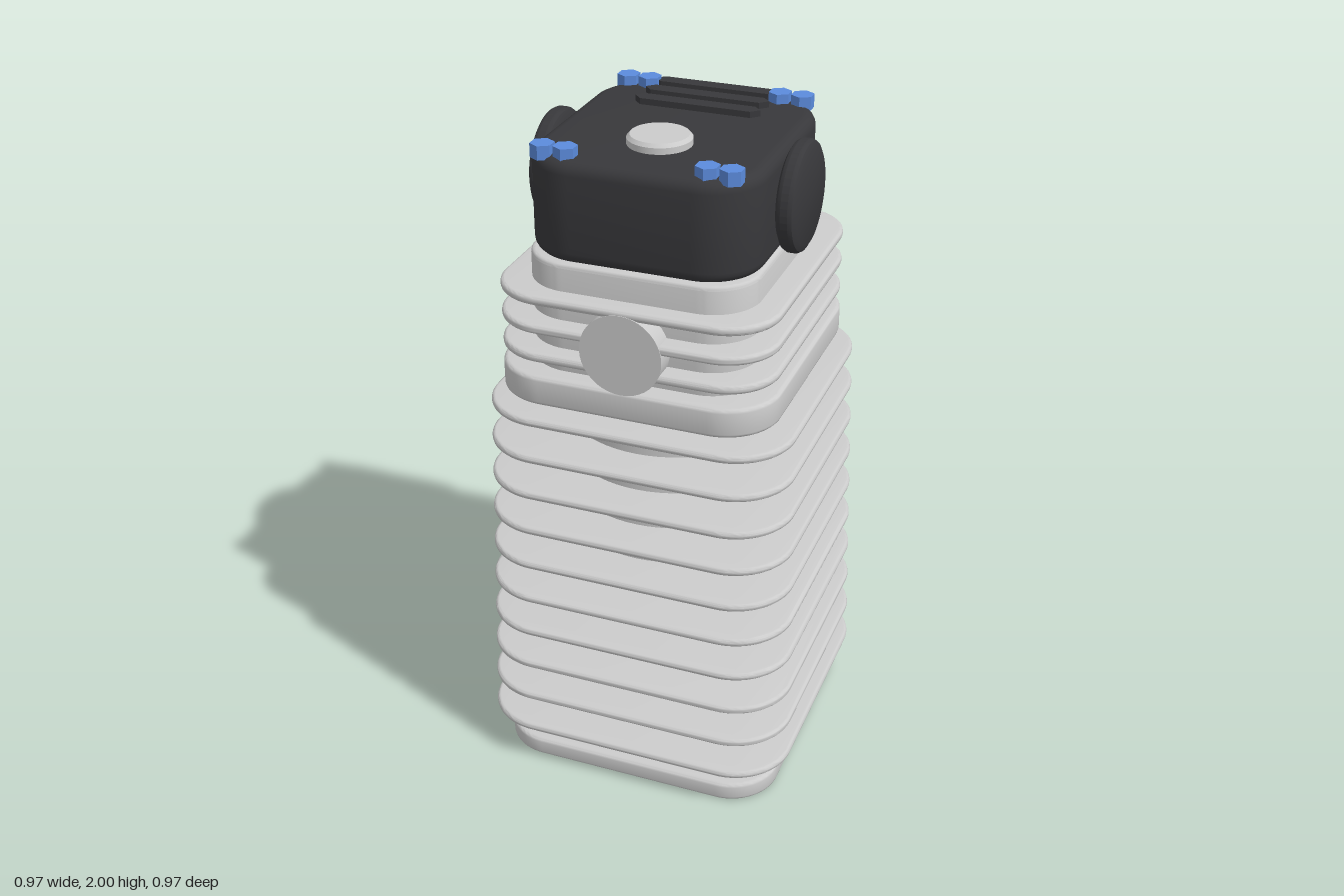
import * as THREE from 'three';
import { toCreasedNormals } from 'three/addons/utils/BufferGeometryUtils.js';

const metal = new THREE.MeshStandardMaterial({ color: 0xcccccc });
const dark = new THREE.MeshStandardMaterial({ color: 0x38383b });
const blue = new THREE.MeshStandardMaterial({ color: 0x5b8bdc });

function roundedRect(hx, hz, r) {
  const s = new THREE.Shape();
  s.absarc(hx - r, hz - r, r, 0, Math.PI / 2);
  s.absarc(-hx + r, hz - r, r, Math.PI / 2, Math.PI);
  s.absarc(-hx + r, -hz + r, r, Math.PI, Math.PI * 1.5);
  s.absarc(hx - r, -hz + r, r, Math.PI * 1.5, Math.PI * 2);
  s.closePath();
  return s;
}

// Horizontal rounded slab from y0 to y1 with softened rims
function slab(hx, hz, r, y0, y1, bevel, segments = 3) {
  const geo = new THREE.ExtrudeGeometry(roundedRect(hx - bevel, hz - bevel, r - bevel), {
    depth: y1 - y0 - 2 * bevel, bevelThickness: bevel, bevelSize: bevel,
    bevelSegments: segments, curveSegments: 10,
  });
  geo.rotateX(-Math.PI / 2).translate(0, y0 + bevel, 0);
  return toCreasedNormals(geo, 0.7);
}

// Upright turned part from [radius, y] points, with crisp edges
function turned(points, sides = 48) {
  const geo = new THREE.LatheGeometry(points.map(([x, y]) => new THREE.Vector2(x, y)), sides);
  return toCreasedNormals(geo, 0.5);
}

export function createModel() {
  const model = new THREE.Group();
  const add = (name, geo, material, x = 0, y = 0, z = 0) => {
    const mesh = new THREE.Mesh(geo, material);
    mesh.name = name;
    mesh.position.set(x, y, z);
    model.add(mesh);
    return mesh;
  };

  // Barrel: base flange, round sleeve and tapering stack of fins
  add('baseFlange', slab(0.44, 0.44, 0.15, 0, 0.06, 0.012), metal);
  add('barrel', new THREE.CylinderGeometry(0.333, 0.333, 1.22, 64), metal, 0, 0.645, 0);
  for (let i = 0; i < 10; i++) {
    const half = 0.484 - i * 0.0032, y = 0.138 + i * 0.12;
    add('barrelFin', slab(half, half, 0.18, y - 0.012, y + 0.012, 0.01), metal);
  }

  // Head: flange, core and three fins
  add('headFlange', slab(0.41, 0.437, 0.16, 1.272, 1.36, 0.012), metal);
  add('headCore', slab(0.333, 0.373, 0.14, 1.28, 1.685, 0.012), metal);
  for (const y of [1.418, 1.505, 1.592]) {
    add('headFin', slab(0.407, 0.435, 0.155, y - 0.013, y + 0.013, 0.01), metal);
  }

  // Ports
  const port = (r, depth) => new THREE.CylinderGeometry(r, r, depth, 40).rotateX(Math.PI / 2);
  add('frontPort', port(0.12, 0.15), metal, 0, 1.473, 0.362);
  add('backPort', port(0.152, 0.145), metal, 0, 1.405, -0.367);

  // Rocker cover with a soft rim
  add('rockerCover', slab(0.332, 0.362, 0.16, 1.68, 1.972, 0.035, 5), dark);

  // Round side covers
  const sideProfile = [[0, -0.03], [0.135, -0.03], [0.152, -0.021], [0.158, -0.01],
    [0.158, 0.01], [0.152, 0.021], [0.135, 0.03], [0, 0.03]];
  for (const side of [1, -1]) {
    add(side > 0 ? 'leftSideCover' : 'rightSideCover', turned(sideProfile), dark,
      side * 0.362, 1.822, 0).rotation.z = -side * Math.PI / 2;
  }

  // Filler cap
  add('fillerCap', turned([[0, 1.95], [0.091, 1.95], [0.091, 1.99], [0.082, 2], [0, 2]]),
    metal, 0, 0, 0.13);

  // Raised ribs with pointed ends
  const rib = new THREE.Shape([[-0.188, 0], [-0.165, -0.023], [0.165, -0.023],
    [0.188, 0], [0.165, 0.023], [-0.165, 0.023]].map(([x, y]) => new THREE.Vector2(x, y)));
  const ribGeo = new THREE.ExtrudeGeometry(rib, { depth: 0.03, bevelEnabled: false });
  ribGeo.rotateX(-Math.PI / 2);
  for (const z of [-0.163, -0.243, -0.323]) add('coverRib', ribGeo, dark, 0, 1.96, z);

  // Paired hexagonal bolts at the corners
  const boltGeo = toCreasedNormals(new THREE.CylinderGeometry(0.034, 0.034, 0.04, 6), 0.5);
  for (const x of [-0.267, -0.2, 0.2, 0.267]) {
    for (const z of [-0.308, 0.306]) add('bolt', boltGeo, blue, x, 1.98, z);
  }

  return model;
}
